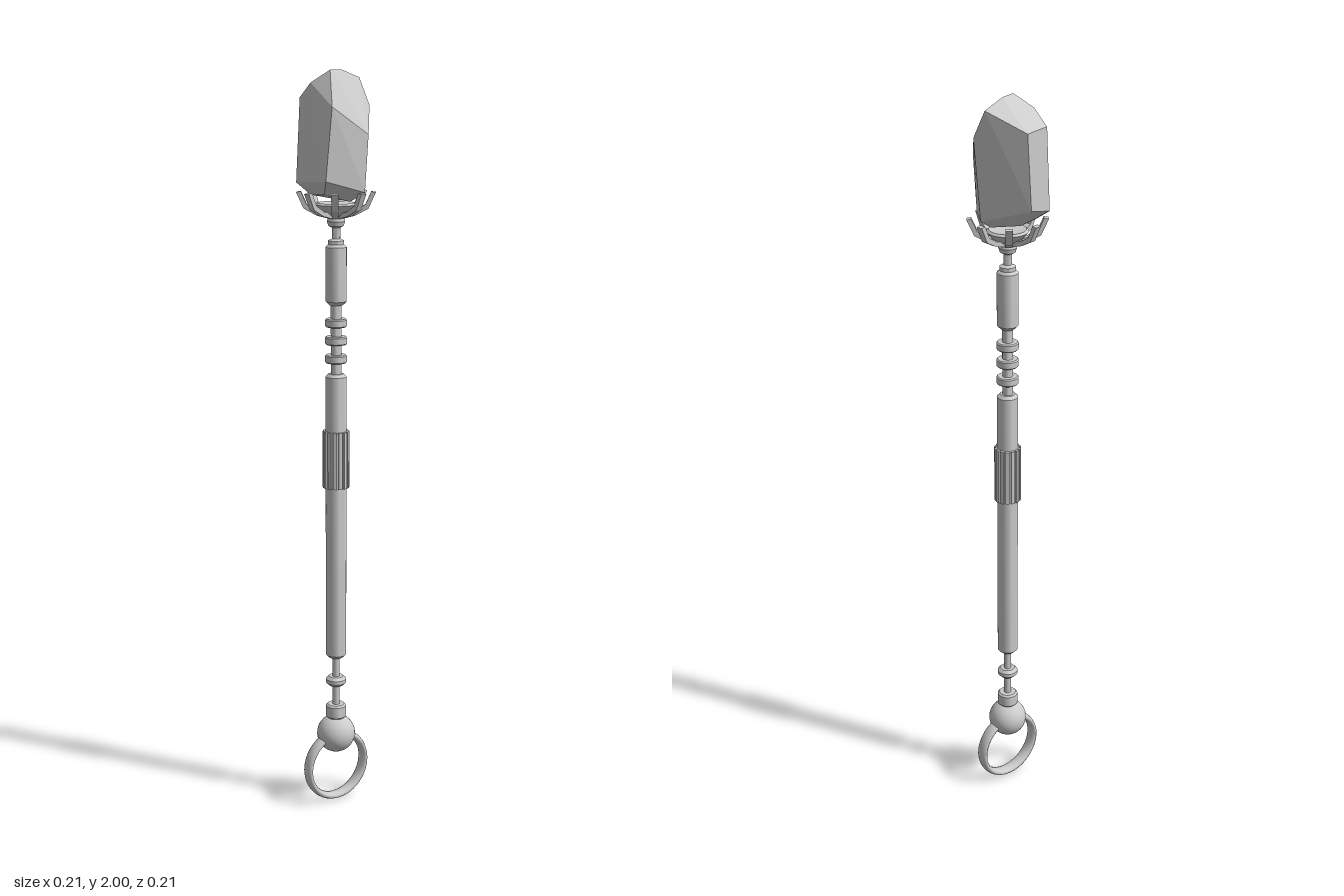
import * as THREE from 'three';
import { toCreasedNormals } from 'three/addons/utils/BufferGeometryUtils.js';
import { ConvexGeometry } from 'three/addons/geometries/ConvexGeometry.js';

const smooth = new THREE.MeshStandardMaterial({ color: 0xcccccc });
const faceted = new THREE.MeshStandardMaterial({ color: 0xcccccc, flatShading: true });

export function createModel() {
  const model = new THREE.Group();
  const add = (name, geometry, material = smooth, parent = model) => {
    const mesh = new THREE.Mesh(geometry, material);
    mesh.name = name;
    parent.add(mesh);
    return mesh;
  };
  // turned part from [radius, height] pairs, bottom to top
  const turned = (name, profile, sides = 24) => add(name, toCreasedNormals(
    new THREE.LatheGeometry(profile.map(([r, y]) => new THREE.Vector2(r, y)), sides), 0.6));
  // rod with bevelled ends
  const rod = (name, y0, y1, r, bevel) => turned(name,
    [[0, y0], [r - bevel, y0], [r, y0 + bevel], [r, y1 - bevel], [r - bevel, y1], [0, y1]]);

  // pommel ring, flattened band
  const ring = add('pommelRing', new THREE.TorusGeometry(0.092, 0.009, 12, 48));
  ring.scale.z = 2;
  ring.position.y = 0.101;

  // pommel ball and lower neck
  add('pommelBall', new THREE.SphereGeometry(0.053, 24, 16)).position.y = 0.195;
  rod('pommelCollar', 0.242, 0.282, 0.028, 0.005);
  rod('lowerNeck', 0.27, 0.43, 0.01, 0.001);
  rod('lowerBead', 0.338, 0.364, 0.028, 0.008);

  // main shaft with ribbed band
  rod('shaft', 0.42, 1.215, 0.028, 0.008);
  rod('bandCore', 0.906, 1.058, 0.031, 0.001);
  const ribs = new THREE.Group();
  ribs.name = 'bandRibs';
  model.add(ribs);
  for (let i = 0; i < 14; i++) {
    const a = (i / 14) * Math.PI * 2;
    const rib = add('bandRib', new THREE.BoxGeometry(0.009, 0.155, 0.01), smooth, ribs);
    rib.position.set(Math.cos(a) * 0.031, 0.982, Math.sin(a) * 0.031);
    rib.rotation.y = -a;
  }

  // upper neck with three discs
  rod('upperNeck', 1.2, 1.41, 0.014, 0.001);
  for (const y of [1.255, 1.304, 1.351]) rod('neckDisc', y - 0.011, y + 0.011, 0.029, 0.003);
  rod('upperGrip', 1.398, 1.56, 0.028, 0.01);
  turned('gripCap', [[0, 1.555], [0.021, 1.555], [0.021, 1.567], [0.011, 1.572], [0.011, 1.6],
    [0.02, 1.605], [0.024, 1.617], [0.02, 1.63], [0, 1.63]]);

  // shallow cup holding the crystal
  turned('cup', [[0, 1.622], [0.018, 1.626], [0.042, 1.645], [0.054, 1.66], [0.048, 1.665], [0, 1.655]]);

  // eight claws curling up around the crystal
  const claw = new THREE.Shape();
  claw.moveTo(0.01, 1.622);
  claw.lineTo(0.05, 1.632);
  claw.lineTo(0.084, 1.65);
  claw.lineTo(0.103, 1.692);
  claw.lineTo(0.091, 1.694);
  claw.lineTo(0.076, 1.661);
  claw.lineTo(0.05, 1.645);
  claw.lineTo(0.01, 1.636);
  const clawGeometry = new THREE.ExtrudeGeometry(claw, { depth: 0.018, bevelEnabled: false });
  clawGeometry.translate(0, 0, -0.009);
  for (let i = 0; i < 8; i++) {
    add('claw', clawGeometry, faceted).rotation.y = THREE.MathUtils.degToRad(9 - i * 45);
  }

  // leaning, irregular five-sided crystal
  const corners = [
    // lower rim
    [-0.074, 1.715, -0.075], [0.005, 1.735, -0.1], [0.076, 1.695, 0.012],
    [0.028, 1.695, 0.09], [-0.075, 1.725, 0.065],
    // tapered base
    [-0.055, 1.685, -0.035], [0.0, 1.685, -0.05], [0.045, 1.675, 0.01],
    [0.01, 1.67, 0.05], [-0.06, 1.69, 0.035],
    // shoulders
    [-0.06, 1.93, -0.078], [0.02, 1.93, -0.102], [0.096, 1.91, 0.012],
    [0.042, 1.84, 0.085], [-0.057, 1.91, 0.067],
    // ridge
    [-0.058, 1.968, -0.03], [-0.025, 2.0, 0.01], [0.02, 2.0, -0.005], [0.086, 1.98, -0.02],
  ];
  add('crystal', new ConvexGeometry(corners.map((c) => new THREE.Vector3(...c))), faceted);

  return model;
}
